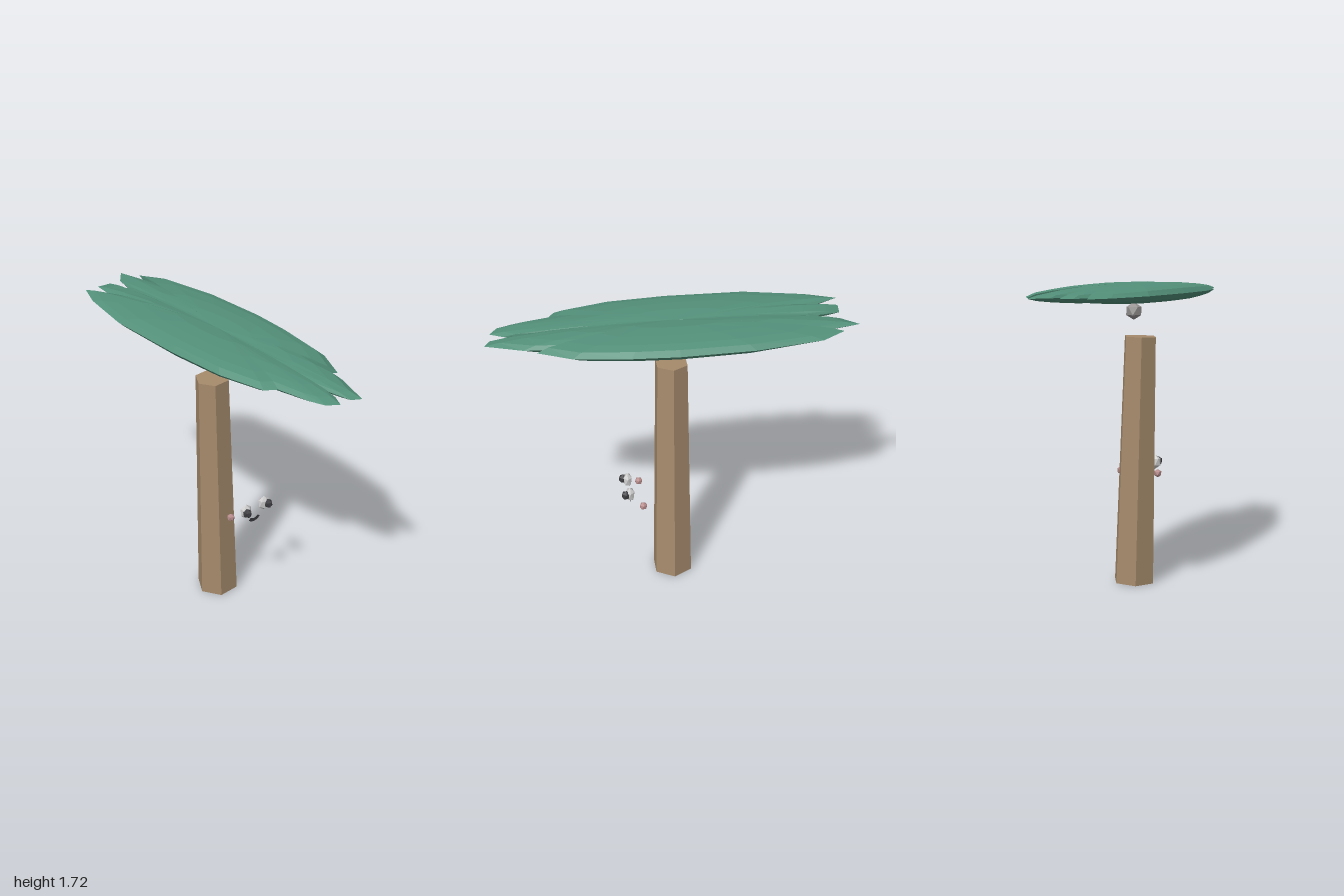
import * as THREE from 'three';

const mat = (color, side = THREE.FrontSide) =>
  new THREE.MeshStandardMaterial({ color, flatShading: true, side });

function add(group, name, geometry, material, x, y, z) {
  const mesh = new THREE.Mesh(geometry, material);
  mesh.name = name;
  mesh.position.set(x, y, z);
  group.add(mesh);
  return mesh;
}

// Low-poly ball with a corner pointing straight up, stretched per axis
function ball(rx, ry, rz) {
  return new THREE.IcosahedronGeometry(1, 0).rotateZ(-0.5536).scale(rx, ry, rz);
}

// Lens-shaped leaf crown: notched outline shrunk in rings towards the middle
function crownGeometry() {
  const outline = [
    [-0.015, -0.8], [-0.03, -0.92], [-0.11, -0.93], [-0.125, -0.8], [-0.19, -0.94],
    [-0.25, -0.79], [-0.31, -0.47], [-0.315, 0], [-0.295, 0.35], [-0.235, 0.62],
    [-0.175, 0.66], [-0.14, 0.85], [-0.11, 0.93], [-0.05, 0.97], [-0.015, 0.9],
    [-0.01, 0.8], [0.02, 0.97], [0.07, 1], [0.14, 0.8], [0.155, 0.65],
    [0.175, 0.73], [0.26, 0.55], [0.3, 0.25], [0.315, 0], [0.305, -0.4],
    [0.25, -0.77], [0.17, -0.9], [0.15, -0.8], [0.11, -1], [0.035, -0.91], [0.015, -0.81],
  ];
  const rings = [0, 0.3, 0.55, 0.78, 0.92, 1];
  const n = outline.length;
  const positions = [], index = [];
  for (const side of [1, -1]) {
    const base = positions.length / 3;
    for (const s of rings) {
      for (const [ox, oz] of outline) {
        const x = ox * s, z = oz * s;
        const seam = 1 - 0.2 * Math.exp(-((x / 0.04) ** 2));
        const h = 0.053 * Math.sqrt(1 - s ** 4) * (1 - 0.6 * z * z) * seam;
        positions.push(x, side * h, z);
      }
    }
    for (let r = 0; r < rings.length - 1; r++) {
      for (let i = 0; i < n; i++) {
        const j = (i + 1) % n;
        const a = base + r * n + i, b = base + r * n + j;
        const c = a + n, d = b + n;
        const tris = r === 0 ? [[a, c, d]] : [[a, c, d], [a, d, b]];
        for (const [p, q, t] of tris) index.push(...(side > 0 ? [p, q, t] : [p, t, q]));
      }
    }
  }
  const g = new THREE.BufferGeometry();
  g.setAttribute('position', new THREE.Float32BufferAttribute(positions, 3));
  g.setIndex(index);
  g.computeVertexNormals();
  return g;
}

export function createModel() {
  const tree = new THREE.Group();
  tree.name = 'palmTree';

  // Six-sided, leaning trunk
  const trunkGeo = new THREE.CylinderGeometry(0.096, 0.122, 1.42, 6).rotateY(Math.PI / 6);
  const trunk = add(tree, 'trunk', trunkGeo, mat(0xa68b6c), -0.02, 0.714, 0);
  trunk.rotation.z = 0.028;

  // Crown and the fruit under it
  add(tree, 'leafCrown', crownGeometry(), mat(0x53907a), 0, 1.67, 0);
  add(tree, 'coconut', ball(0.05, 0.05, 0.05), mat(0x999595), 0, 1.565, 0);

  // Face floating in front of the trunk, mirrored about its own centre line
  const face = new THREE.Group();
  face.name = 'face';
  face.position.set(0.056, 0, 0);
  tree.add(face);
  const white = mat(0xcccccc), dark = mat(0x3c3c40), pink = mat(0xb58a8a);
  for (const [side, label] of [[1, 'left'], [-1, 'right']]) {
    add(face, label + 'Eye', ball(0.04, 0.045, 0.028), white, side * 0.069, 0.665, 0.26);
    add(face, label + 'Pupil', ball(0.026, 0.029, 0.03), dark, side * 0.08, 0.667, 0.283);
    add(face, label + 'Cheek', ball(0.024, 0.024, 0.024), pink, side * 0.12, 0.611, 0.19);
  }

  // Flat curved smile
  const smile = new THREE.RingGeometry(0.036, 0.057, 8, 1, Math.PI * 1.24, Math.PI * 0.52);
  add(face, 'smile', smile, mat(0x3c3c40, THREE.DoubleSide), 0, 0.624, 0.255);

  return tree;
}
